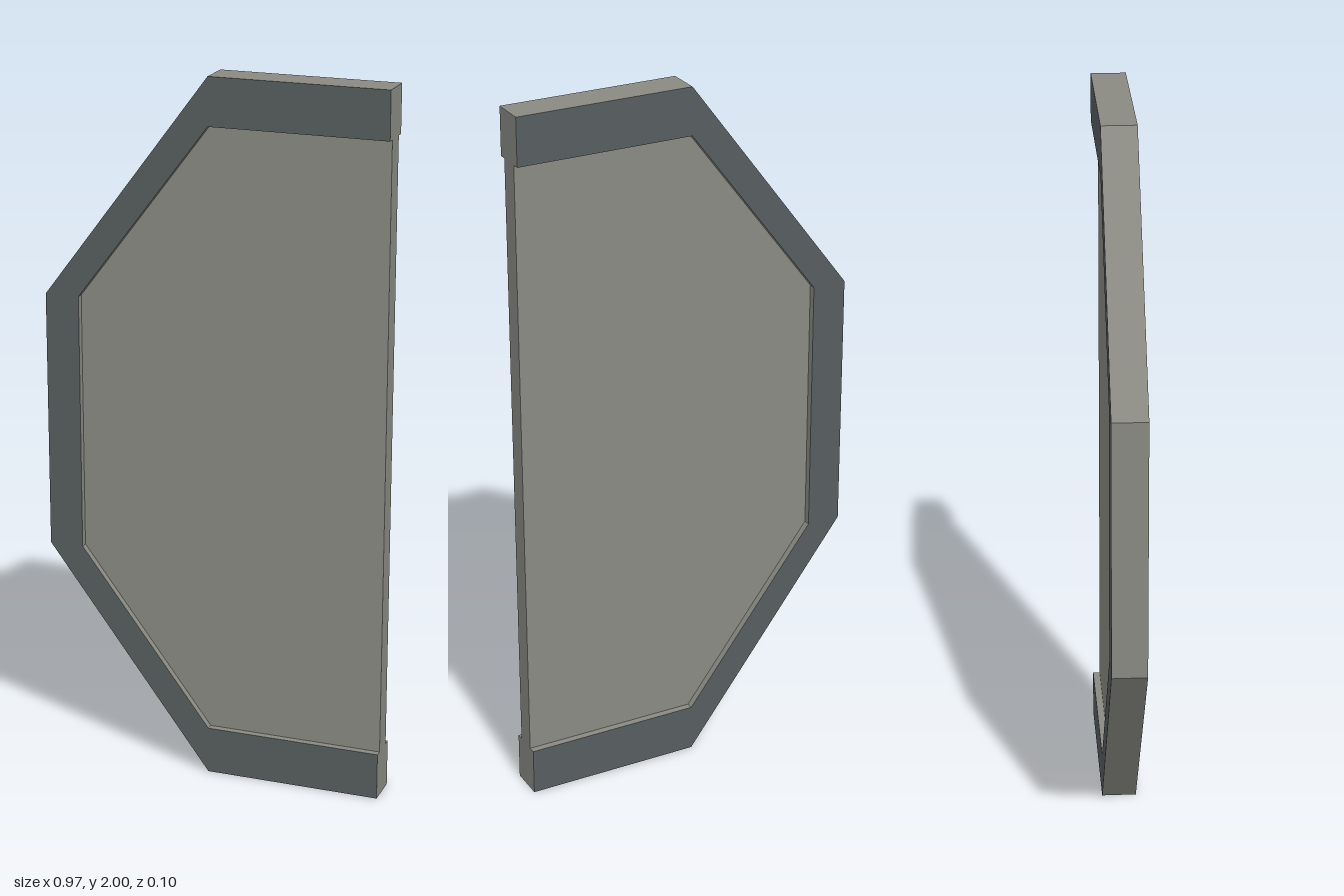
import * as THREE from 'three';

// Upper half outlines as [x, height above the middle], from the open side round to the closed side
const OUTER = [[0.487, 1], [-0.013, 1], [-0.487, 0.365]];
const INNER = [[0.487, 0.866], [-0.013, 0.866], [-0.39, 0.365]];

// Mirrors a half outline about the middle to give the full run of points
function mirrored(half) {
  const lower = half.map(([x, y]) => [x, -y]).reverse();
  return [...half, ...lower].map(([x, y]) => new THREE.Vector2(x, y + 1));
}

// Extrudes an outline to a plate centred on z = 0
function plate(name, points, depth, materials) {
  const geometry = new THREE.ExtrudeGeometry(new THREE.Shape(points), { depth, bevelEnabled: false });
  geometry.translate(0, 0, -depth / 2);
  const mesh = new THREE.Mesh(geometry, materials);
  mesh.name = name;
  return mesh;
}

export function createModel() {
  const panelGrey = new THREE.MeshStandardMaterial({ color: 0x8a8a83 });
  panelGrey.name = 'panel grey';
  const frameGrey = new THREE.MeshStandardMaterial({ color: 0x575d5f });
  frameGrey.name = 'dark frame grey';

  const group = new THREE.Group();
  group.name = 'halfOctagonPanel';

  // Raised border, open on one side: dark faces, lighter edges
  const border = [...mirrored(OUTER), ...mirrored(INNER).reverse()];
  group.add(plate('frame', border, 0.097, [frameGrey, panelGrey]));

  // Recessed infill panel, flush with the open side
  group.add(plate('panel', mirrored(INNER), 0.057, panelGrey));

  return group;
}
